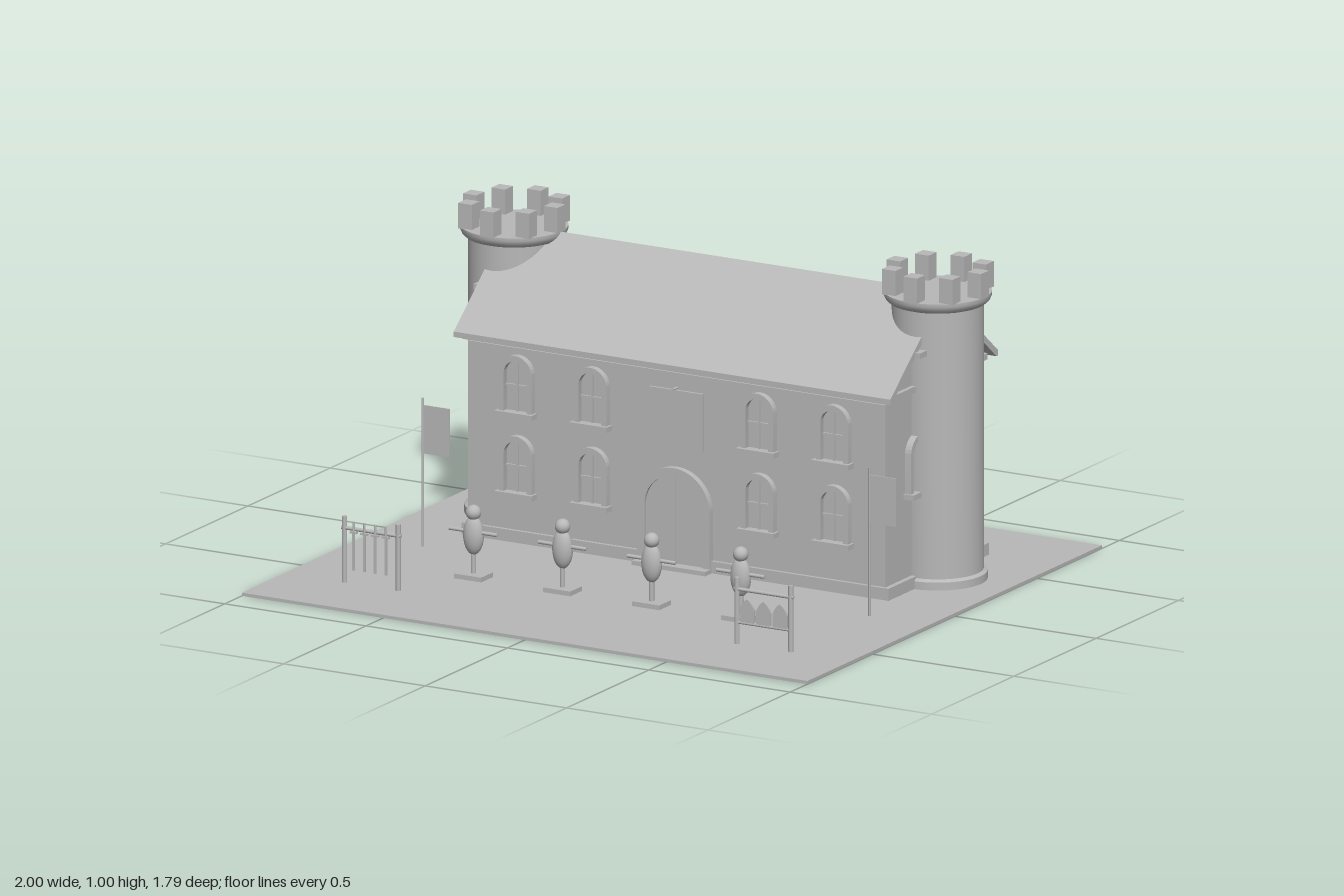
import * as THREE from 'three';
import { toCreasedNormals } from 'three/addons/utils/BufferGeometryUtils.js';

const stone = new THREE.MeshStandardMaterial({ color: 0xb8b8b8, side: THREE.DoubleSide });
stone.name = 'grey stone';

function add(parent, name, geo, x = 0, y = 0, z = 0) {
  const mesh = new THREE.Mesh(geo, stone);
  mesh.name = name;
  mesh.position.set(x, y, z);
  parent.add(mesh);
  return mesh;
}
const group = (parent, name, x = 0, y = 0, z = 0) => {
  const g = new THREE.Group();
  g.name = name;
  g.position.set(x, y, z);
  parent.add(g);
  return g;
};
// Box given by its limits
const block = (p, name, x0, x1, y0, y1, z0, z1) =>
  add(p, name, new THREE.BoxGeometry(x1 - x0, y1 - y0, z1 - z0), (x0 + x1) / 2, (y0 + y1) / 2, (z0 + z1) / 2);
const rod = (p, name, r, h, x, y, z) => add(p, name, new THREE.CylinderGeometry(r, r, h, 12), x, y, z);

// Round-headed outline, standing on y = 0
function archPath(C, halfWidth, height) {
  const p = new C();
  p.moveTo(-halfWidth, 0);
  p.lineTo(halfWidth, 0);
  p.lineTo(halfWidth, height - halfWidth);
  p.absarc(0, height - halfWidth, halfWidth, 0, Math.PI, false);
  p.lineTo(-halfWidth, 0);
  return p;
}
function archFrame(halfWidth, height, band, depth) {
  const s = archPath(THREE.Shape, halfWidth, height);
  s.holes.push(archPath(THREE.Path, halfWidth - band, height - band));
  return toCreasedNormals(new THREE.ExtrudeGeometry(s, { depth, bevelEnabled: false, curveSegments: 16 }), 0.6);
}

// Arched window facing +z, its wall at z = 0
function buildWindow(parent, name, x, y, z) {
  const w = group(parent, name, x, y, z);
  add(w, 'windowFrame', archFrame(0.058, 0.19, 0.018, 0.022));
  add(w, 'windowPane', new THREE.ShapeGeometry(archPath(THREE.Shape, 0.045, 0.178)), 0, 0, 0.003);
  block(w, 'mullion', -0.003, 0.003, 0.01, 0.176, 0, 0.01);
  block(w, 'transom', -0.041, 0.041, 0.09, 0.096, 0, 0.01);
  block(w, 'windowSill', -0.066, 0.066, -0.005, 0.012, -0.005, 0.035);
  return w;
}

// Profile in (z, y) drawn out along x
function crossSection(points, halfLength) {
  const s = new THREE.Shape(points.map(([z, y]) => new THREE.Vector2(z, y)));
  const g = new THREE.ExtrudeGeometry(s, { depth: halfLength * 2, bevelEnabled: false });
  g.translate(0, 0, -halfLength);
  return g.rotateY(-Math.PI / 2);
}

function buildHall(root) {
  const hall = group(root, 'hall');
  add(hall, 'walls', crossSection([[-0.03, 0.01], [-0.03, 0.625], [-0.325, 0.88], [-0.615, 0.625], [-0.615, 0.01]], 0.738));
  block(hall, 'plinth', -0.755, 0.755, 0.01, 0.048, -0.63, -0.018);
  block(hall, 'cornice', -0.752, 0.752, 0.63, 0.65, -0.625, -0.02);
  add(hall, 'roof', crossSection([[0, 0.655], [-0.327, 0.92], [-0.655, 0.655], [-0.655, 0.638], [-0.645, 0.638],
    [-0.327, 0.895], [-0.01, 0.638], [0, 0.638]], 0.772));
  for (const x of [-0.56, -0.295, 0.295, 0.56])
    for (const y of [0.16, 0.415]) buildWindow(hall, 'frontWindow', x, y, -0.03);
  for (const s of [-1, 1]) {
    buildWindow(hall, 'sideWindow', s * 0.738, 0.305, -0.205).rotation.y = s * Math.PI / 2;
    const sill = [s * 0.735, s * 0.79].sort((a, b) => a - b);
    block(hall, 'gableSill', sill[0], sill[1], 0.75, 0.768, -0.26, -0.15);
  }
  // Doorway
  const door = group(hall, 'doorway', 0, 0.01, -0.03);
  add(door, 'doorFrame', archFrame(0.128, 0.318, 0.026, 0.022));
  add(door, 'doorLeaf', new THREE.ShapeGeometry(archPath(THREE.Shape, 0.105, 0.295), 16), 0, 0, 0.013);
  block(door, 'doorSeam', -0.002, 0.002, 0, 0.29, 0.01, 0.016);
  block(hall, 'doorStep', -0.13, 0.13, 0.01, 0.024, -0.03, 0.022);
  // Hanging banner over the door
  block(hall, 'banner', -0.095, 0.095, 0.387, 0.572, -0.03, -0.021);
  rod(hall, 'bannerHook', 0.004, 0.03, 0, 0.578, -0.02).rotation.x = Math.PI / 2;
}

function buildTower(root, x) {
  const tower = group(root, 'tower', x, 0, -0.328);
  const profile = [[0, 0.01], [0.153, 0.01], [0.153, 0.035], [0.141, 0.042], [0.141, 0.885], [0.15, 0.888],
    [0.16, 0.897], [0.166, 0.91], [0.166, 0.921], [0, 0.921]].map(([r, y]) => new THREE.Vector2(r, y));
  add(tower, 'towerShaft', toCreasedNormals(new THREE.LatheGeometry(profile, 48), 0.6));
  for (let i = 0; i < 8; i++) {
    const a = i * Math.PI / 4;
    add(tower, 'merlon', new THREE.BoxGeometry(0.048, 0.081, 0.048), 0.143 * Math.cos(a), 0.96, 0.143 * Math.sin(a));
  }
}

function buildDummy(root, x) {
  const d = group(root, 'trainingDummy', x, 0, 0.39);
  block(d, 'dummyBase', -0.048, 0.048, 0.01, 0.025, -0.036, 0.036);
  rod(d, 'dummyPost', 0.008, 0.1, 0, 0.07, 0);
  const body = add(d, 'dummyBody', new THREE.SphereGeometry(1, 20, 14), 0, 0.145, 0);
  body.scale.set(0.034, 0.062, 0.026);
  add(d, 'dummyHead', new THREE.SphereGeometry(0.024, 18, 12), 0, 0.217, 0);
  rod(d, 'dummyArms', 0.006, 0.17, 0, 0.156, 0).rotation.z = Math.PI / 2;
}

function buildFlag(root, x) {
  const f = group(root, 'flag', x, 0, 0.157);
  rod(f, 'flagPole', 0.004, 0.47, 0, 0.245, 0);
  block(f, 'flagCloth', 0, 0.095, 0.305, 0.458, -0.002, 0.002);
}

function buildRack(root, x) {
  const rack = group(root, 'weaponRack', x, 0, 0.632);
  for (const s of [-1, 1]) rod(rack, 'rackPost', 0.008, 0.21, s * 0.095, 0.115, 0);
  rod(rack, 'rackRail', 0.006, 0.21, 0, 0.183, 0).rotation.z = Math.PI / 2;
  return rack;
}

function buildSwordRack(root) {
  const rack = buildRack(root, -0.695);
  for (let i = 0; i < 4; i++) {
    const x = -0.057 + i * 0.038;
    block(rack, 'swordBlade', x - 0.004, x + 0.004, 0.055, 0.175, 0.008, 0.012);
    block(rack, 'swordGuard', x - 0.012, x + 0.012, 0.172, 0.178, 0.005, 0.015);
    rod(rack, 'swordGrip', 0.004, 0.035, x, 0.192, 0.01);
  }
}

function buildShieldRack(root) {
  const rack = buildRack(root, 0.693);
  rod(rack, 'lowerRail', 0.005, 0.19, 0, 0.078, 0).rotation.z = Math.PI / 2;
  const s = new THREE.Shape();
  s.moveTo(-0.025, 0);
  s.lineTo(0.025, 0);
  s.lineTo(0.025, 0.045);
  s.quadraticCurveTo(0.018, 0.066, 0, 0.078);
  s.quadraticCurveTo(-0.018, 0.066, -0.025, 0.045);
  const geo = new THREE.ExtrudeGeometry(s, { depth: 0.008, bevelEnabled: false, curveSegments: 6 });
  for (const x of [-0.058, 0, 0.058]) add(rack, 'shield', geo, x, 0.078, -0.004);
}

export function createModel() {
  const root = new THREE.Group();
  root.name = 'castleHall';
  block(root, 'ground', -1, 1, 0, 0.01, -0.895, 0.895);
  buildHall(root);
  for (const x of [-0.749, 0.749]) buildTower(root, x);
  for (const x of [-0.475, -0.16, 0.155, 0.47]) buildDummy(root, x);
  for (const x of [-0.79, 0.79]) buildFlag(root, x);
  buildSwordRack(root);
  buildShieldRack(root);
  return root;
}
